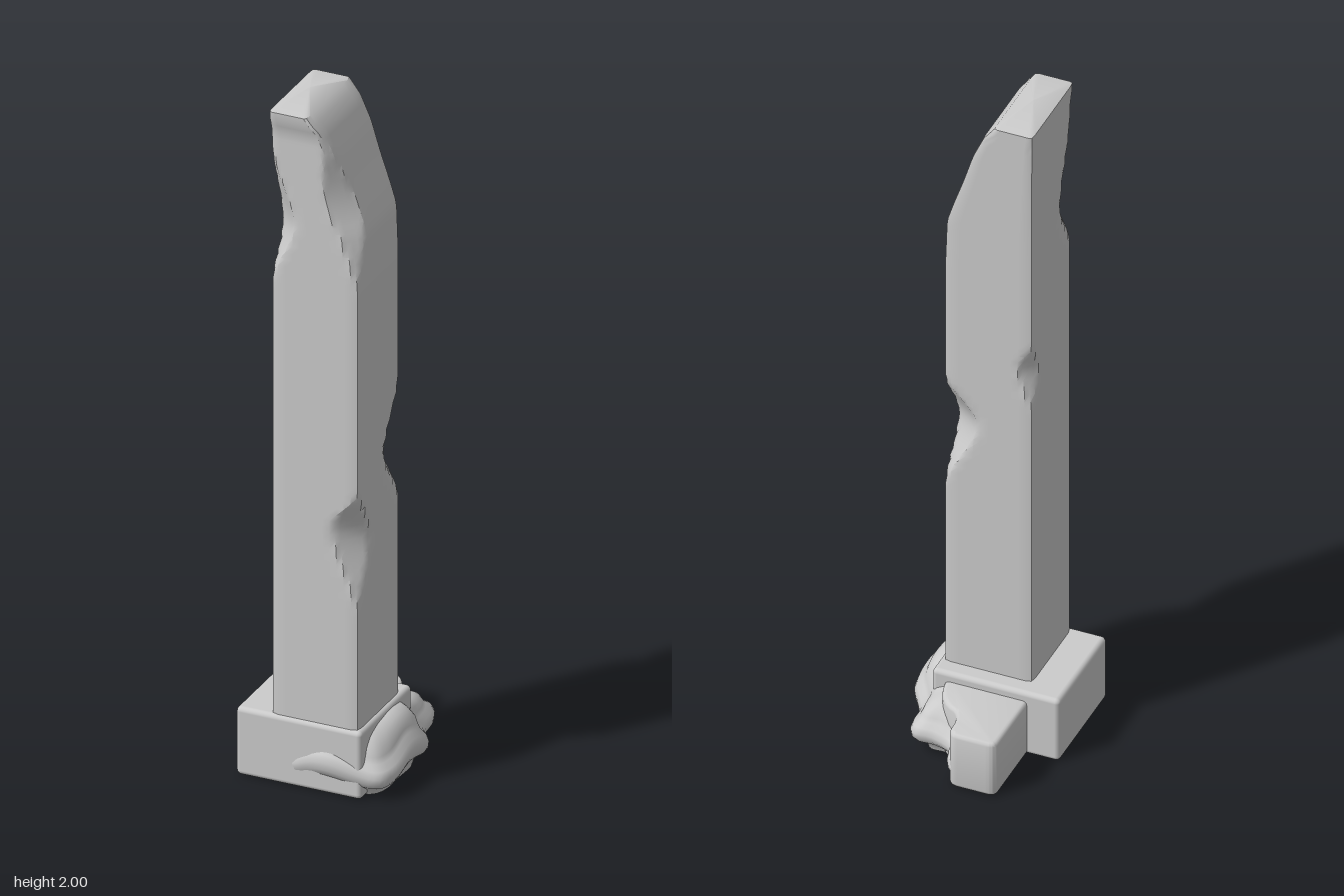
import * as THREE from 'three';
import { toCreasedNormals } from 'three/addons/utils/BufferGeometryUtils.js';
import { RoundedBoxGeometry } from 'three/addons/geometries/RoundedBoxGeometry.js';

const stone = new THREE.MeshStandardMaterial({ color: 0xcccccc });

function addMesh(group, name, geometry) {
  const mesh = new THREE.Mesh(geometry, stone);
  mesh.name = name;
  group.add(mesh);
  return mesh;
}

// Skins closed rings (counter-clockwise from above, bottom to top) and caps both ends
function loft(rings, crown, crease) {
  const n = rings[0].length, pos = [], index = [];
  rings.forEach((ring) => ring.forEach((p) => pos.push(p.x, p.y, p.z)));
  for (let r = 0; r < rings.length - 1; r++) {
    for (let j = 0; j < n; j++) {
      const a = r * n + j, b = r * n + (j + 1) % n;
      index.push(a, b, b + n, a, b + n, a + n);
    }
  }
  [0, rings.length - 1].forEach((r) => {
    const c = new THREE.Vector3();
    rings[r].forEach((p) => c.addScaledVector(p, 1 / n));
    if (r) c.y += crown;
    const centre = pos.length / 3;
    pos.push(c.x, c.y, c.z);
    for (let j = 0; j < n; j++) {
      const a = r * n + j, b = r * n + (j + 1) % n;
      if (r) index.push(centre, a, b);
      else index.push(centre, b, a);
    }
  });
  const geometry = new THREE.BufferGeometry();
  geometry.setAttribute('position', new THREE.Float32BufferAttribute(pos, 3));
  geometry.setIndex(index);
  return toCreasedNormals(geometry, crease);
}

// Piecewise linear lookup in [y, value] pairs
function lookup(table, y) {
  for (let i = 1; i < table.length; i++) {
    const [y0, v0] = table[i - 1], [y1, v1] = table[i];
    if (y <= y1) return THREE.MathUtils.mapLinear(Math.max(y, y0), y0, y1, v0, v1);
  }
  return table[table.length - 1][1];
}

// Chipped corners: x sign, z sign, height, reach below, reach above, depth
const chips = [
  [1, -1, 0.97, 0.2, 0.17, 0.09],
  [1, 1, 0.76, 0.22, 0.14, 0.07],
  [-1, 1, 1.64, 0.17, 0.25, 0.065],
  [-1, -1, 1.2, 0.12, 0.1, 0.035],
  [1, 1, 1.72, 0.24, 0.25, 0.06],
];
const breakLine = [[1.5, 0.132], [1.64, 0.127], [1.7, 0.108], [1.78, 0.08],
  [1.87, 0.052], [1.94, 0.02], [1.98, -0.012]];

function shaftGeometry() {
  const X = 0.005, Z = 0.12, W = 0.127, D = 0.13, steps = 12;
  const corners = [[1, 1], [1, -1], [-1, -1], [-1, 1]];
  const rings = [];
  for (let r = 0; r <= 90; r++) {
    const y = 0.12 + 1.86 * r / 90;
    const ring = [];
    corners.forEach(([ax, az], k) => {
      const [bx, bz] = corners[(k + 1) % 4];
      for (let s = 0; s < steps; s++) {
        const t = s / steps;
        let x = W * (ax + (bx - ax) * t), z = D * (az + (bz - az) * t);
        // cut each chip as a sloping plane across its corner
        chips.forEach(([sx, sz, cy, down, up, depth]) => {
          const skew = y - cy + 0.25 * (sx * x - sz * z);
          const f = Math.max(0, 1 - Math.abs(skew) / (skew < 0 ? down : up));
          const over = sx * x + sz * z - (W + D - 0.008 - depth * f * f * (3 - 2 * f));
          if (over > 0) {
            x -= sx * over / 2;
            z -= sz * over / 2;
          }
        });
        // slanted break at the top
        const limit = lookup(breakLine, y) - X;
        x = -W + (x + W) * (limit + W) / (2 * W);
        // small lip on the front of the tip
        if (z > 0) z += 0.014 * (z / D) * THREE.MathUtils.smoothstep(y, 1.91, 1.97);
        ring.push(new THREE.Vector3(X + x, y, Z + z));
      }
    });
    rings.push(ring);
  }
  return loft(rings, 0.02, 0.6);
}

// Lumpy skirt of rubble around the left and back of the base
function skirtGeometry() {
  const outline = [[-0.07, 0.25], [0.0, 0.265], [0.06, 0.272], [0.14, 0.262], [0.195, 0.245],
    [0.217, 0.2], [0.22, 0.1], [0.22, 0.0], [0.2, -0.03], [0.172, -0.08], [0.165, -0.15],
    [0.145, -0.183], [0.085, -0.185], [0.032, -0.2], [0.025, -0.235], [0, -0.265],
    [-0.07, -0.25], [-0.09, 0]];
  const curve = new THREE.CatmullRomCurve3(
    outline.map(([x, z]) => new THREE.Vector3(x, 0, z)), true, 'centripetal');
  const base = curve.getSpacedPoints(100).slice(0, 100);
  const profile = [[0, 0.8], [0.025, 0.83], [0.045, 0.95], [0.06, 0.99], [0.08, 1], [0.1, 0.97],
    [0.115, 0.9], [0.13, 0.87], [0.15, 0.84], [0.17, 0.76], [0.185, 0.66]];
  const rings = profile.map(([y, s]) => base.map((p) => {
    const a = Math.atan2(p.z - 0.06, p.x);
    const lift = y * (1 - y / 0.2) * 4 * 0.08 * Math.sin(a * 5 + 1);
    const back = THREE.MathUtils.smoothstep(-p.z, 0, 0.15);
    return new THREE.Vector3(p.x * s, (y + lift) * (1 - 0.2 * back), 0.06 + (p.z - 0.06) * s);
  }));
  return loft(rings, 0, 1);
}

// Rear slab with a stepped left edge
function rearSlabGeometry() {
  const b = 0.012;
  const shape = new THREE.Shape();
  // shape y is -z
  shape.moveTo(-0.128 + b, -0.1);
  shape.lineTo(-0.128 + b, 0.25);
  shape.quadraticCurveTo(-0.128 + b, 0.27 - b, -0.1, 0.27 - b);
  shape.lineTo(-0.02, 0.27 - b);
  shape.quadraticCurveTo(0.0, 0.27 - b, 0.0, 0.235);
  shape.quadraticCurveTo(-0.002, 0.18, 0.03, 0.155);
  shape.quadraticCurveTo(0.095, 0.13, 0.098, 0.02);
  shape.lineTo(0.098, -0.1);
  const geometry = new THREE.ExtrudeGeometry(shape, {
    depth: 0.172 - 2 * b, bevelEnabled: true, bevelSize: b, bevelThickness: b,
    bevelSegments: 3, curveSegments: 8,
  });
  geometry.rotateX(-Math.PI / 2).translate(0, b, 0);
  return toCreasedNormals(geometry, 0.7);
}

export function createModel() {
  const model = new THREE.Group();
  model.name = 'brokenPillar';
  addMesh(model, 'shaft', shaftGeometry());

  const base = new THREE.Group();
  base.name = 'base';
  model.add(base);
  addMesh(base, 'plinth', new RoundedBoxGeometry(0.365, 0.2, 0.318, 3, 0.014))
    .position.set(-0.038, 0.1, 0.1);
  addMesh(base, 'rearSlab', rearSlabGeometry());
  addMesh(base, 'rubbleSkirt', skirtGeometry());
  return model;
}
